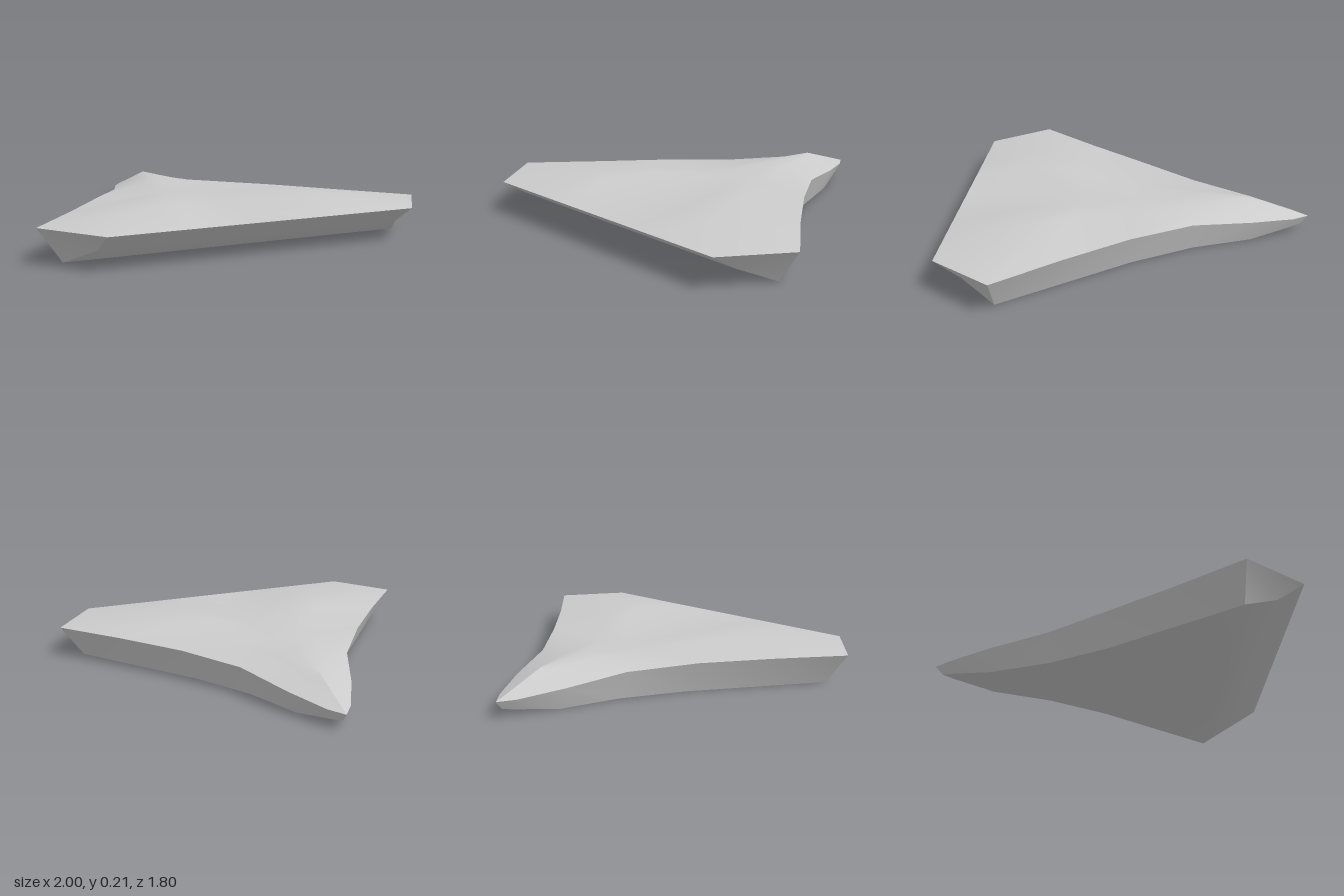
import * as THREE from 'three';
import { toCreasedNormals } from 'three/addons/utils/BufferGeometryUtils.js';

// Cross-sections from the nose to the stern.
// rim: [z, half width]; top: heights at the centre, 0.3, 0.5 and 1 of the half width;
// keel: [z, half width, y] of the flat underside
const SECTIONS = [
  { rim: [-0.9, 0], top: [0.085, 0.085, 0.085, 0.085], keel: [-0.86, 0, 0.04] },
  { rim: [-0.82, 0.06], top: [0.112, 0.105, 0.101, 0.09], keel: [-0.81, 0.03, 0.032] },
  { rim: [-0.6, 0.17], top: [0.185, 0.164, 0.15, 0.115], keel: [-0.6, 0.125, 0] },
  { rim: [-0.3, 0.29], top: [0.195, 0.181, 0.172, 0.148], keel: [-0.3, 0.24, 0] },
  { rim: [0, 0.5], top: [0.165, 0.165, 0.165, 0.165], keel: [0, 0.42, 0] },
  { rim: [0.3, 0.74], top: [0.165, 0.21, 0.21, 0.167], keel: [0.3, 0.65, 0] },
  { rim: [0.6, 1], top: [0.165, 0.21, 0.21, 0.167], keel: [0.6, 0.88, 0] },
  { rim: [0.9, 0.78], top: [0.165, 0.165, 0.165, 0.165], keel: [0.77, 0.78, 0.08] },
];
const COLUMNS = [-1, -0.5, -0.3, 0, 0.3, 0.5, 1];

// One closed ring: deck from right to left, then underside back again
function ring({ rim, top, keel }) {
  const deck = COLUMNS.map((u, i) => [u * rim[1], top[Math.abs(i - 3)], rim[0]]);
  const under = [1, 0, -1].map((u) => [u * keel[1], keel[2], keel[0]]);
  return [...deck, ...under];
}

function hullGeometry() {
  const rings = SECTIONS.map(ring);
  const n = rings[0].length;
  const positions = [];
  const tri = (a, b, c) => positions.push(...a, ...b, ...c);

  // Skin between neighbouring rings, with mirrored diagonals
  for (let i = 0; i < rings.length - 1; i++) {
    for (let j = 0; j < n; j++) {
      const k = (j + 1) % n;
      const a = rings[i][j], b = rings[i][k], c = rings[i + 1][k], d = rings[i + 1][j];
      if (a[0] + b[0] + c[0] + d[0] > 0) {
        tri(a, d, c);
        tri(a, c, b);
      } else {
        tri(a, d, b);
        tri(b, d, c);
      }
    }
  }

  // Sloping stern face, fanned from the middle of its lower edge
  const stern = rings[rings.length - 1];
  const mid = n - 2;
  for (let j = 0; j < n; j++) {
    const k = (j + 1) % n;
    if (j !== mid && k !== mid) tri(stern[mid], stern[k], stern[j]);
  }

  const geometry = new THREE.BufferGeometry();
  geometry.setAttribute('position', new THREE.Float32BufferAttribute(positions, 3));
  return toCreasedNormals(geometry, 0.6);
}

export function createModel() {
  const model = new THREE.Group();
  model.name = 'wedgeHull';
  const hull = new THREE.Mesh(hullGeometry(), new THREE.MeshStandardMaterial({ color: 0xcccccc }));
  hull.name = 'hull';
  model.add(hull);
  return model;
}
